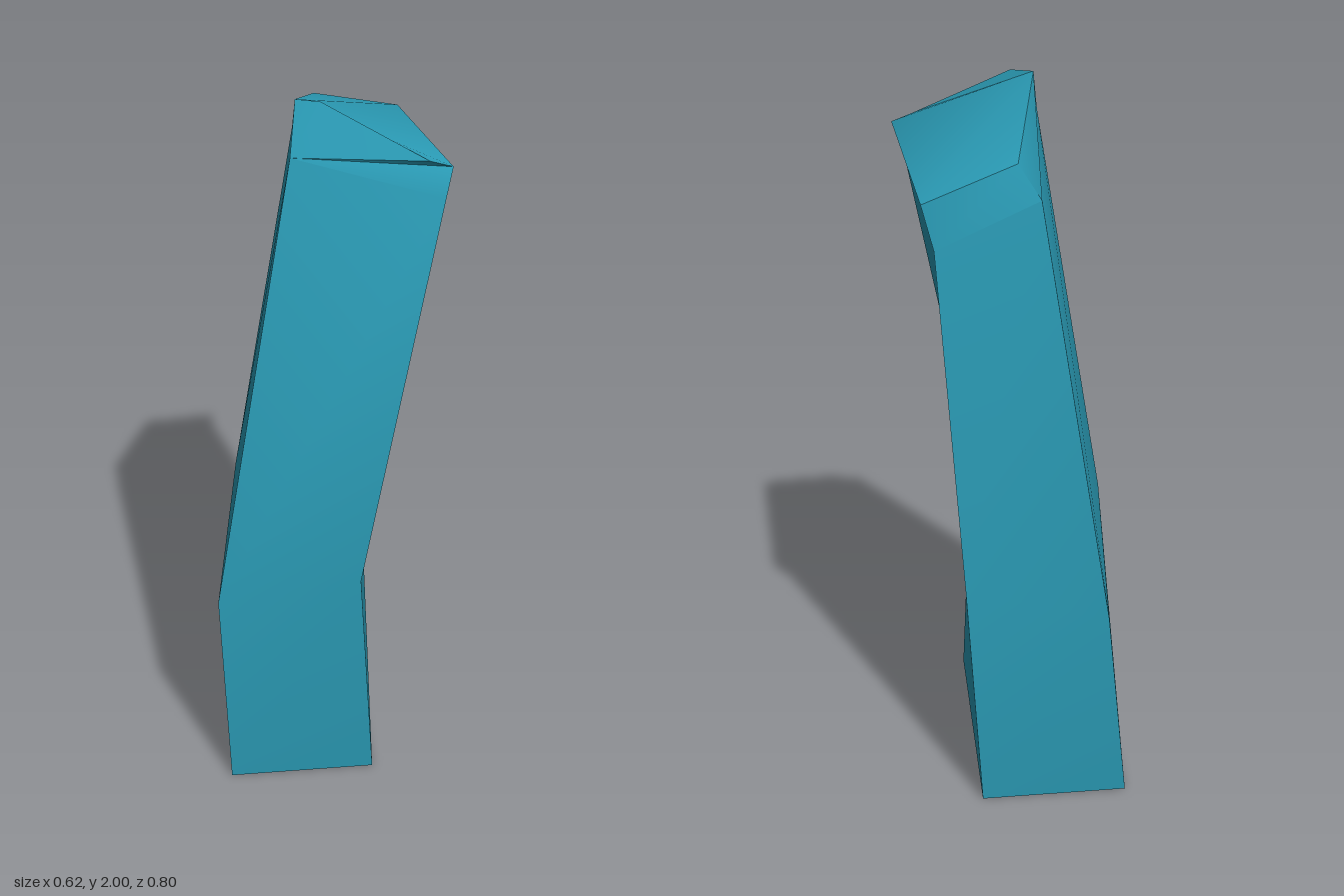
import * as THREE from 'three';
import { toCreasedNormals } from 'three/addons/utils/BufferGeometryUtils.js';

// Corner rings from bottom to top, each in order: front left, front right, back right, back left (as seen from the front)
const RINGS = [
  [[-0.29, 0, 0.355], [0.13, 0, 0.355], [0.13, 0, -0.36], [-0.29, 0, -0.36]],            // foot
  [[-0.31, 0.64, 0.355], [0.08, 0.72, 0.40], [0.17, 0.70, -0.355], [-0.22, 0.62, -0.40]], // bend
  [[-0.09, 1.88, 0.235], [0.285, 1.79, 0.31], [0.235, 1.68, -0.36], [-0.04, 1.775, -0.28]], // shoulder
  [[-0.07, 2, 0.155], [0.31, 1.85, 0.255], [0.265, 1.80, -0.365], [0.02, 1.87, -0.28]],  // rim of the top
];
// Extra points along the front of the rim
const RIM_FRONT = [[-0.01, 2, 0.18], [0.25, 1.87, 0.265]];

function createStoneGeometry() {
  const positions = [];
  const polygon = (...p) => {
    for (let i = 1; i < p.length - 1; i++) positions.push(...p[0], ...p[i], ...p[i + 1]);
  };

  // Side walls and bevel; the foot stays open
  for (let r = 0; r < RINGS.length - 1; r++) {
    const low = RINGS[r], high = RINGS[r + 1];
    for (let i = 0; i < 4; i++) {
      const j = (i + 1) % 4;
      const extra = r === 2 && i === 0 ? [...RIM_FRONT].reverse() : [];
      polygon(low[i], low[j], high[j], ...extra, high[i]);
    }
  }

  // Sloping top
  const [fl, fr, br, bl] = RINGS[3];
  polygon(fl, ...RIM_FRONT, fr, br, bl);

  const geometry = new THREE.BufferGeometry();
  geometry.setAttribute('position', new THREE.Float32BufferAttribute(positions, 3));
  return toCreasedNormals(geometry, 1.0);
}

export function createModel() {
  const group = new THREE.Group();
  group.name = 'leaningStone';
  const material = new THREE.MeshStandardMaterial({ color: 0x2a9ab4, side: THREE.DoubleSide });
  const stone = new THREE.Mesh(createStoneGeometry(), material);
  stone.name = 'stonePillar';
  group.add(stone);
  return group;
}
